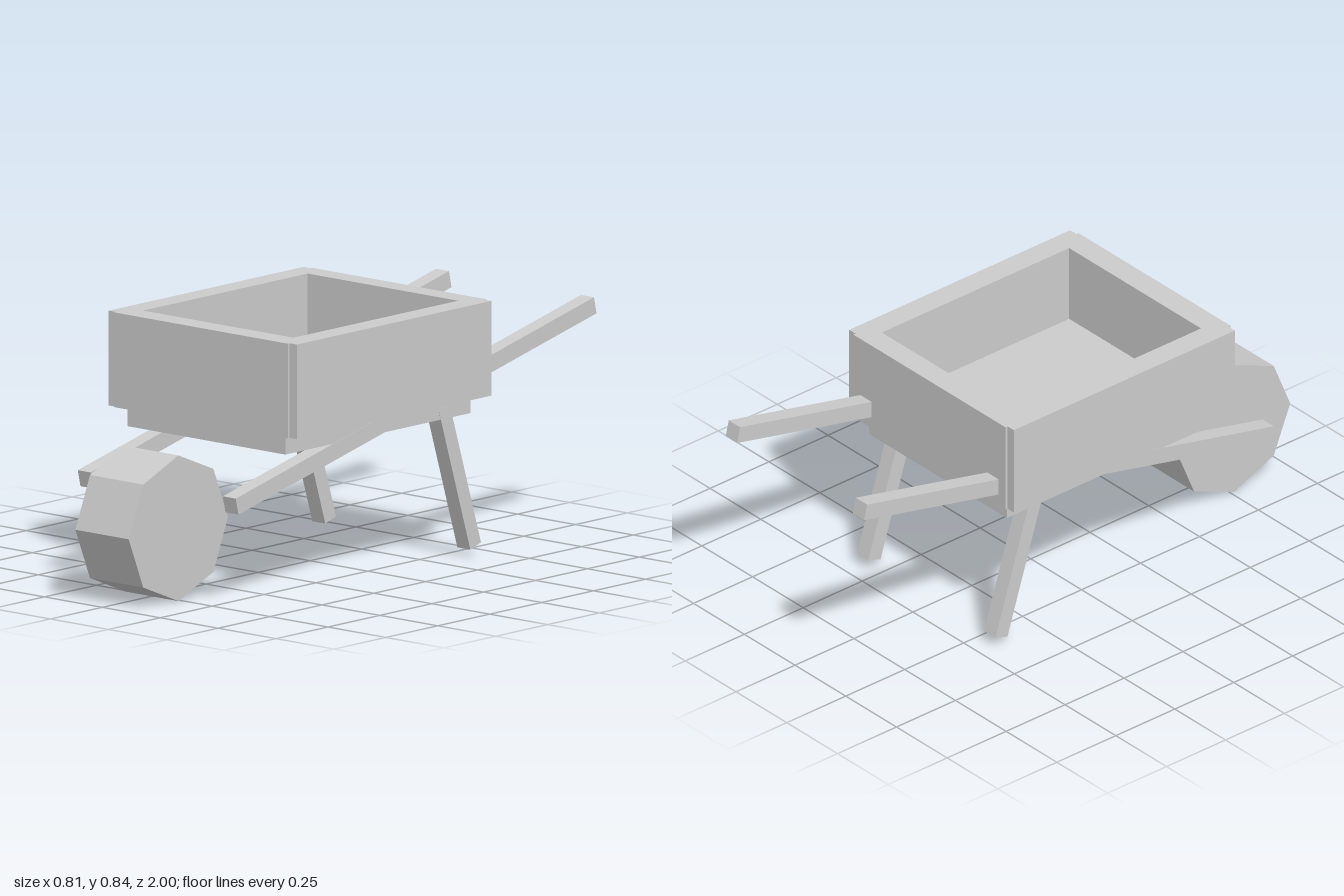
import * as THREE from 'three';

export function createModel() {
  const model = new THREE.Group();
  model.name = 'wheelbarrow';
  const grey = new THREE.MeshStandardMaterial({ color: 0xcccccc, flatShading: true });
  grey.name = 'plain grey';

  const add = (name, geometry) => {
    const mesh = new THREE.Mesh(geometry, grey);
    mesh.name = name;
    model.add(mesh);
    return mesh;
  };

  // Square beam between two [y, z] points at a given x
  const beam = (name, x, [y0, z0], [y1, z1], thick) => {
    const length = Math.hypot(y1 - y0, z1 - z0);
    const mesh = add(name, new THREE.BoxGeometry(0.056, thick, length));
    mesh.position.set(x, (y0 + y1) / 2, (z0 + z1) / 2);
    mesh.rotation.x = -Math.atan2(y1 - y0, z1 - z0);
  };

  // Tray walls: one frame with notched corners, extruded upwards (shape y is -z)
  const points = (list) => list.map(([x, z]) => new THREE.Vector2(x, -z));
  const frame = new THREE.Shape(points([
    [-0.375, 0.525], [0.375, 0.525], [0.375, 0.516], [0.406, 0.516],
    [0.406, -0.421], [0.375, -0.421], [0.375, -0.43], [-0.375, -0.43],
    [-0.375, -0.421], [-0.406, -0.421], [-0.406, 0.516], [-0.375, 0.516],
  ]));
  frame.holes.push(new THREE.Path(points([
    [-0.325, 0.442], [-0.325, -0.352], [0.325, -0.352], [0.325, 0.442],
  ])));
  const walls = new THREE.ExtrudeGeometry(frame, { depth: 0.311, bevelEnabled: false });
  walls.rotateX(-Math.PI / 2);
  add('trayWalls', walls).position.y = 0.535;

  // Tray floor, showing below the walls
  add('trayFloor', new THREE.BoxGeometry(0.68, 0.106, 0.892)).position.set(0, 0.526, 0.052);

  // Long handles and rear legs, mirrored
  for (const [side, s] of [['left', 1], ['right', -1]]) {
    beam(side + 'Handle', s * 0.313, [0.735, -0.994], [0.338, 0.731], 0.056);
    beam(side + 'Leg', s * 0.313, [0.033, -0.418], [0.51, -0.267], 0.054);
  }

  // Eight-sided wheel
  const wheel = new THREE.CylinderGeometry(0.239, 0.239, 0.23, 8);
  wheel.rotateZ(Math.PI / 2);
  add('wheel', wheel).position.set(0, 0.241, 0.762);

  return model;
}
